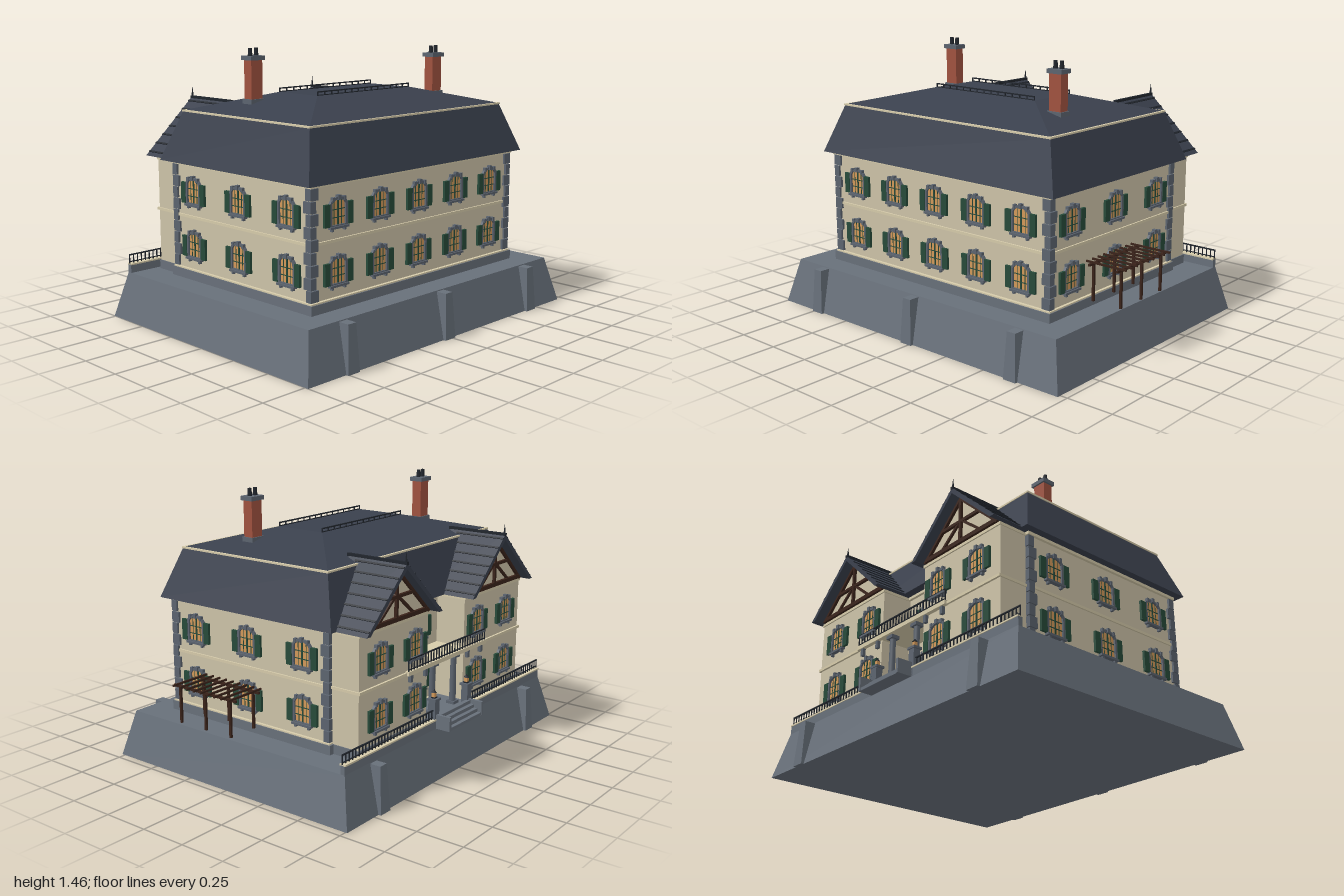
import * as THREE from 'three';

const mat = (name, color, side = THREE.FrontSide) => {
  const m = new THREE.MeshStandardMaterial({ color, side });
  m.name = name;
  return m;
};
const M = {
  stone: mat('terrace stone', 0x68707a),
  slate: mat('dressed grey stone', 0x5c646f),
  wall: mat('cream plaster', 0xcdc3a8),
  trim: mat('pale trim', 0xd6cbaa),
  roof: mat('roof slate', 0x3a404d),
  brick: mat('chimney brick', 0xa0523f),
  glass: mat('warm glass', 0xd2995a),
  green: mat('shutter green', 0x274a3a),
  timber: mat('dark timber', 0x3a231a),
  iron: mat('black iron', 0x20252c),
};

function add(parent, name, geo, material, x = 0, y = 0, z = 0) {
  const mesh = new THREE.Mesh(geo, material);
  mesh.name = name;
  mesh.position.set(x, y, z);
  parent.add(mesh);
  return mesh;
}
// Box given by its limits
const box = (parent, name, m, x0, x1, y0, y1, z0, z1) =>
  add(parent, name, new THREE.BoxGeometry(x1 - x0, y1 - y0, z1 - z0), m,
    (x0 + x1) / 2, (y0 + y1) / 2, (z0 + z1) / 2);

// Block whose top and bottom are different rectangles [x0, x1, z0, z1]
function frustum(parent, name, m, y0, y1, bottom, top) {
  const geo = new THREE.BoxGeometry(1, 1, 1), p = geo.attributes.position;
  for (let i = 0; i < p.count; i++) {
    const up = p.getY(i) > 0, r = up ? top : bottom;
    p.setXYZ(i, p.getX(i) > 0 ? r[1] : r[0], up ? y1 : y0, p.getZ(i) > 0 ? r[3] : r[2]);
  }
  geo.computeVertexNormals();
  return add(parent, name, geo, m);
}
// Timber or bar between two points in the xy plane
function beam(parent, name, m, x0, y0, x1, y1, z, t, d) {
  const b = add(parent, name, new THREE.BoxGeometry(Math.hypot(x1 - x0, y1 - y0), t, d), m,
    (x0 + x1) / 2, (y0 + y1) / 2, z);
  b.rotation.z = Math.atan2(y1 - y0, x1 - x0);
  return b;
}
function arch(w, y0, spring, top) {
  const s = new THREE.Shape();
  s.moveTo(-w, y0);
  s.lineTo(w, y0);
  s.lineTo(w, spring);
  s.quadraticCurveTo(w * 0.75, top, 0, top);
  s.quadraticCurveTo(-w * 0.75, top, -w, spring);
  s.closePath();
  return s;
}
const extrude = (shape, depth) =>
  new THREE.ExtrudeGeometry(shape, { depth, bevelEnabled: false, curveSegments: 5 });

// Shared window geometry
const surround = arch(0.058, -0.058, 0.055, 0.085);
surround.holes.push(arch(0.046, -0.05, 0.05, 0.073));
const surroundGeo = extrude(surround, 0.014);
const glassGeo = extrude(arch(0.048, -0.054, 0.052, 0.075), 0.004);

function addWindow(parent, x, y, z, turn) {
  const g = new THREE.Group();
  g.name = 'window';
  add(g, 'glass', glassGeo, M.glass);
  add(g, 'surround', surroundGeo, M.slate);
  box(g, 'mullion', M.green, -0.004, 0.004, -0.05, 0.073, 0, 0.008);
  for (const s of [-1, 1]) {
    box(g, 'sideMuntin', M.green, s * 0.025 - 0.0015, s * 0.025 + 0.0015, -0.05, 0.068, 0, 0.006);
    const sh = box(g, 'shutter', M.green, -0.018, 0.018, -0.055, 0.055, 0.002, 0.016);
    sh.position.x = s * 0.077;
    box(g, 'voussoir', M.slate, s * 0.038 - 0.007, s * 0.038 + 0.007, 0.064, 0.085, 0, 0.018);
    box(g, 'sillBracket', M.slate, s * 0.042 - 0.006, s * 0.042 + 0.006, -0.08, -0.066, 0, 0.016);
  }
  for (const v of [-0.015, 0.024]) box(g, 'crossMuntin', M.green, -0.046, 0.046, v - 0.002, v + 0.002, 0, 0.007);
  box(g, 'keystone', M.slate, -0.009, 0.009, 0.07, 0.094, 0, 0.02);
  box(g, 'sill', M.slate, -0.062, 0.062, -0.067, -0.056, 0, 0.022);
  g.position.set(x, y, z);
  g.rotation.y = turn;
  parent.add(g);
}
// Iron railing along x
function railing(parent, name, x0, x1, y0, y1, z, step) {
  const g = new THREE.Group();
  g.name = name;
  parent.add(g);
  box(g, 'topRail', M.iron, x0, x1, y1 - 0.006, y1, z - 0.004, z + 0.004);
  box(g, 'lowRail', M.iron, x0, x1, y0 + 0.008, y0 + 0.012, z - 0.003, z + 0.003);
  const n = Math.round((x1 - x0) / step);
  for (let i = 0; i <= n; i++) {
    const x = x0 + (x1 - x0) * i / n;
    box(g, 'baluster', M.iron, x - 0.0025, x + 0.0025, y0, y1, z - 0.0025, z + 0.0025);
  }
}

function addWing(house, s) {
  const g = new THREE.Group();
  g.name = s > 0 ? 'leftWing' : 'rightWing';
  g.position.x = s * 0.458;
  house.add(g);
  box(g, 'wingPlinth', M.stone, -0.29, 0.29, 0.245, 0.293, -0.65, -0.47);
  box(g, 'wingWall', M.wall, -0.285, 0.285, 0.29, 0.866, -0.645, -0.47);
  box(g, 'floorBand', M.trim, -0.292, 0.292, 0.572, 0.586, -0.656, -0.47);
  box(g, 'cornice', M.trim, -0.29, 0.29, 0.848, 0.863, -0.652, -0.47);
  // Gable wall and overhanging roof
  const tri = new THREE.Shape([[-0.285, 0.864], [0.285, 0.864], [0, 1.132]].map(p => new THREE.Vector2(...p)));
  add(g, 'gableWall', extrude(tri, 0.1), M.wall, 0, 0, -0.645);
  const chev = new THREE.Shape([[-0.3155, 0.865], [-0.285, 0.865], [0, 1.13], [0.285, 0.865], [0.3155, 0.865], [0, 1.16]]
    .map(p => new THREE.Vector2(...p)));
  add(g, 'wingRoof', extrude(chev, 0.34), M.roof, 0, 0, -0.712);
  for (const k of [-1, 1]) {
    for (let i = 0; i < 7; i++) {
      const t = (i + 0.5) / 7, x = k * 0.3155 * (1 - t), y = 0.865 + 0.295 * t;
      const b = add(g, 'slateCourse', new THREE.BoxGeometry(0.01, 0.008, 0.29), M.iron, x, y, -0.566);
      b.rotation.z = -k * 0.752;
    }
    beam(g, 'rafterTimber', M.timber, k * 0.275, 0.868, 0, 1.122, -0.65, 0.018, 0.02);
    beam(g, 'brace', M.timber, k * 0.15, 0.88, 0, 1.0, -0.648, 0.014, 0.016);
  }
  beam(g, 'tieBeam', M.timber, -0.28, 0.878, 0.28, 0.878, -0.65, 0.022, 0.022);
  beam(g, 'collarBeam', M.timber, -0.14, 0.99, 0.14, 0.99, -0.65, 0.016, 0.02);
  beam(g, 'kingPost', M.timber, 0, 0.88, 0, 1.125, -0.65, 0.016, 0.02);
  box(g, 'ridgeCap', M.iron, -0.008, 0.008, 1.15, 1.166, -0.714, -0.36);
  add(g, 'finial', new THREE.ConeGeometry(0.007, 0.06, 6), M.iron, 0, 1.19, -0.705);
}

function addChimney(house, x, z, y0, top) {
  box(house, 'chimneyFlashing', M.slate, x - 0.045, x + 0.045, y0 - 0.04, y0 + 0.015, z - 0.035, z + 0.035);
  box(house, 'chimneyStack', M.brick, x - 0.037, x + 0.037, y0, top - 0.02, z - 0.028, z + 0.028);
  box(house, 'chimneyCap', M.slate, x - 0.047, x + 0.047, top - 0.022, top, z - 0.038, z + 0.038);
  for (const s of [-1, 1])
    add(house, 'chimneyPot', new THREE.CylinderGeometry(0.01, 0.012, 0.04, 8), M.iron, x + s * 0.02, top + 0.02, z);
}

export function createModel() {
  const model = new THREE.Group();
  const house = new THREE.Group();
  house.name = 'house';
  house.position.x = -0.02;
  model.add(house);

  // Terrace with battered sides and buttresses
  frustum(house, 'terrace', M.stone, 0, 0.245, [-0.98, 0.98, -0.76, 0.77], [-0.92, 0.92, -0.7, 0.71]);
  for (const x of [-0.7, 0, 0.7]) {
    frustum(house, 'frontButtress', M.stone, 0, 0.24, [x - 0.038, x + 0.038, 0.6, 0.785], [x - 0.026, x + 0.026, 0.6, 0.77]);
    if (x) frustum(house, 'backButtress', M.stone, 0, 0.24, [x - 0.038, x + 0.038, -0.775, -0.6], [x - 0.026, x + 0.026, -0.76, -0.6]);
  }

  // Main block
  box(house, 'plinth', M.stone, -0.775, 0.775, 0.245, 0.293, -0.497, 0.578);
  box(house, 'plinthMoulding', M.trim, -0.77, 0.77, 0.292, 0.3, -0.49, 0.572);
  box(house, 'mainWall', M.wall, -0.755, 0.755, 0.29, 0.866, -0.475, 0.555);
  box(house, 'floorBand', M.trim, -0.763, 0.763, 0.572, 0.586, -0.48, 0.564);
  box(house, 'cornice', M.trim, -0.77, 0.77, 0.85, 0.866, -0.49, 0.572);
  for (const sx of [-1, 1]) for (const front of [true, false]) for (let i = 0; i < 9; i++) {
    const w = i % 2 ? 0.036 : 0.05, d = i % 2 ? 0.05 : 0.036, sz = front ? 1 : -1;
    add(house, 'quoin', new THREE.BoxGeometry(w, 0.056, d), M.slate, sx * (0.767 - w / 2),
      0.331 + i * 0.061, (front ? 0.567 : -0.487) - sz * d / 2);
  }

  // Windows on both floors
  for (const y of [0.42, 0.705]) {
    for (let i = -2; i <= 2; i++) {
      addWindow(house, i * 0.2915, y, 0.555, 0);
      addWindow(house, i * 0.2915, y, i ? -0.645 : -0.475, Math.PI);
    }
    for (const z of [0.395, 0.04, -0.318]) for (const s of [-1, 1]) addWindow(house, s * 0.755, y, z, s * Math.PI / 2);
  }

  // Mansard roof
  frustum(house, 'lowerRoof', M.roof, 0.865, 1.122, [-0.81, 0.81, -0.535, 0.603], [-0.72, 0.72, -0.445, 0.515]);
  box(house, 'roofTrim', M.trim, -0.724, 0.724, 1.121, 1.13, -0.449, 0.519);
  frustum(house, 'upperRoof', M.roof, 1.128, 1.22, [-0.718, 0.718, -0.443, 0.513], [-0.348, 0.348, -0.11, 0.18]);
  for (const z of [-0.108, 0.178]) railing(house, 'roofCresting', -0.345, 0.345, 1.212, 1.242, z, 0.05);
  addChimney(house, -0.505, -0.13, 1.18, 1.415);
  addChimney(house, 0.52, 0.205, 1.175, 1.4);

  // Rear wings, garden walls and gate piers
  for (const s of [-1, 1]) {
    addWing(house, s);
    const a = Math.min(s * 0.16, s * 0.92), b = Math.max(s * 0.16, s * 0.92);
    box(house, 'gardenWall', M.stone, a, b, 0.24, 0.29, -0.7, -0.675);
    box(house, 'gardenCoping', M.trim, a, b, 0.288, 0.296, -0.704, -0.67);
    railing(house, 'gardenRailing', a, b, 0.295, 0.346, -0.687, 0.025);
    const x = s * 0.155;
    box(house, 'gatePier', M.slate, x - 0.02, x + 0.02, 0.245, 0.395, -0.7, -0.662);
    box(house, 'pierCap', M.slate, x - 0.027, x + 0.027, 0.393, 0.405, -0.705, -0.655);
    box(house, 'lanternBase', M.iron, x - 0.012, x + 0.012, 0.404, 0.411, -0.692, -0.668);
    box(house, 'lanternGlass', M.glass, x - 0.009, x + 0.009, 0.41, 0.434, -0.689, -0.671);
    add(house, 'lanternRoof', new THREE.ConeGeometry(0.017, 0.018, 4), M.iron, x, 0.443, -0.68);
    // Porch column
    const c = s * 0.1;
    add(house, 'porchColumn', new THREE.CylinderGeometry(0.015, 0.018, 0.28, 10), M.slate, c, 0.43, -0.63);
    box(house, 'columnBase', M.slate, c - 0.024, c + 0.024, 0.293, 0.312, -0.654, -0.606);
    box(house, 'columnCapital', M.slate, c - 0.024, c + 0.024, 0.552, 0.571, -0.654, -0.606);
    for (const d of [0.2, 0.33]) box(house, 'balconyBracket', M.slate, s * d - 0.01, s * d + 0.01, 0.53, 0.572, -0.662, -0.64);
    // Stair cheek
    box(house, 'stairCheek', M.stone, x - 0.008, x + 0.008, 0.245, 0.32, -0.782, -0.69);
  }
  box(house, 'porchFloor', M.stone, -0.175, 0.175, 0.24, 0.297, -0.69, -0.47);
  for (let i = 0; i < 4; i++)
    box(house, 'step', M.stone, -0.148, 0.148, 0.245, 0.315 - i * 0.018, -0.713 - i * 0.022, -0.69 - i * 0.022);

  // Balcony
  box(house, 'balconySlab', M.trim, -0.365, 0.365, 0.57, 0.592, -0.668, -0.47);
  railing(house, 'balconyRailing', -0.36, 0.36, 0.59, 0.655, -0.661, 0.025);

  // Pergola on the side
  const pergola = new THREE.Group();
  pergola.name = 'pergola';
  model.add(pergola);
  for (const x of [0.8, 0.963]) {
    for (const z of [0.293, 0.12, -0.048]) box(pergola, 'pergolaPost', M.timber, x - 0.006, x + 0.006, 0.293, 0.485, z - 0.006, z + 0.006);
    box(pergola, 'pergolaBeam', M.timber, x - 0.006, x + 0.006, 0.48, 0.492, -0.09, 0.333);
  }
  for (let i = 0; i < 9; i++) {
    const z = -0.07 + i * 0.047;
    box(pergola, 'pergolaSlat', M.timber, 0.765, 1, 0.49, 0.5, z - 0.004, z + 0.004);
  }
  return model;
}
